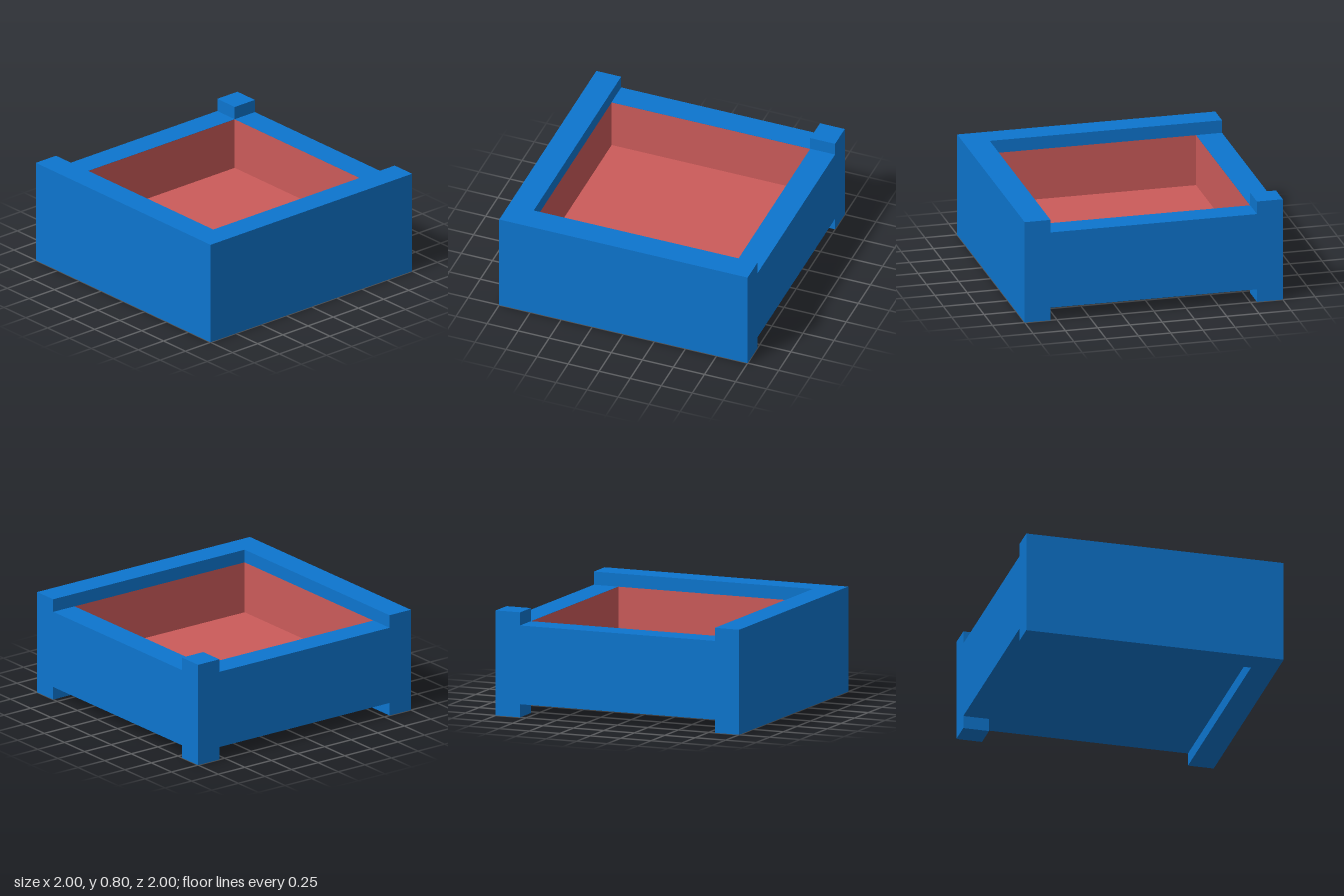
import * as THREE from 'three';

const OUT = 1;       // outer half width
const IN = 0.8;      // inner half width
const HEIGHT = 0.8;  // full height of the tall frame and corner post
const STEP = 0.1;    // how far the low walls stop short at top and bottom
const FLOOR = 0.3;   // height of the tray floor

export function createModel() {
  const blue = new THREE.MeshStandardMaterial({ color: 0x0d75ce });
  blue.name = 'blueBody';
  const red = new THREE.MeshStandardMaterial({ color: 0xcb5b5a });
  red.name = 'redLining';

  const model = new THREE.Group();
  model.name = 'squareTray';

  const add = (name, geometry, material) => {
    const mesh = new THREE.Mesh(geometry, material);
    mesh.name = name;
    model.add(mesh);
    return mesh;
  };

  // box given by its lower and upper corners
  const block = (name, [x0, y0, z0], [x1, y1, z1]) => {
    const geometry = new THREE.BoxGeometry(x1 - x0, y1 - y0, z1 - z0);
    geometry.translate((x0 + x1) / 2, (y0 + y1) / 2, (z0 + z1) / 2);
    return add(name, geometry, blue);
  };

  // tall L-shaped frame along the front and left sides
  const corners = [[-OUT, -OUT], [OUT, -OUT], [OUT, OUT], [IN, OUT], [IN, -IN], [-OUT, -IN]];
  const shape = new THREE.Shape(corners.map(([x, y]) => new THREE.Vector2(x, y)));
  const frame = new THREE.ExtrudeGeometry(shape, { depth: HEIGHT, bevelEnabled: false });
  add('tallFrame', frame.rotateX(-Math.PI / 2), blue);

  // tall post in the opposite corner
  block('cornerPost', [-OUT, 0, -OUT], [-IN, HEIGHT, -IN]);

  // low walls, stepped in at top and bottom
  block('backWall', [-IN, STEP, -OUT], [IN, HEIGHT - STEP, -IN]);
  block('rightWall', [-OUT, STEP, -IN], [-IN, HEIGHT - STEP, IN]);

  // base slab
  block('base', [-IN, STEP, -IN], [IN, FLOOR, IN]);

  // red lining, laid just clear of the blue surfaces
  const gap = 0.002;
  const size = 2 * IN;
  const depth = HEIGHT - STEP - FLOOR;
  const floor = new THREE.PlaneGeometry(size, size).rotateX(-Math.PI / 2);
  add('floorLining', floor.translate(0, FLOOR + gap, 0), red);
  ['back', 'right', 'front', 'left'].forEach((side, i) => {
    const wall = new THREE.PlaneGeometry(size, depth);
    wall.translate(0, FLOOR + depth / 2, -IN + gap);
    add(side + 'Lining', wall.rotateY(i * Math.PI / 2), red);
  });

  return model;
}
